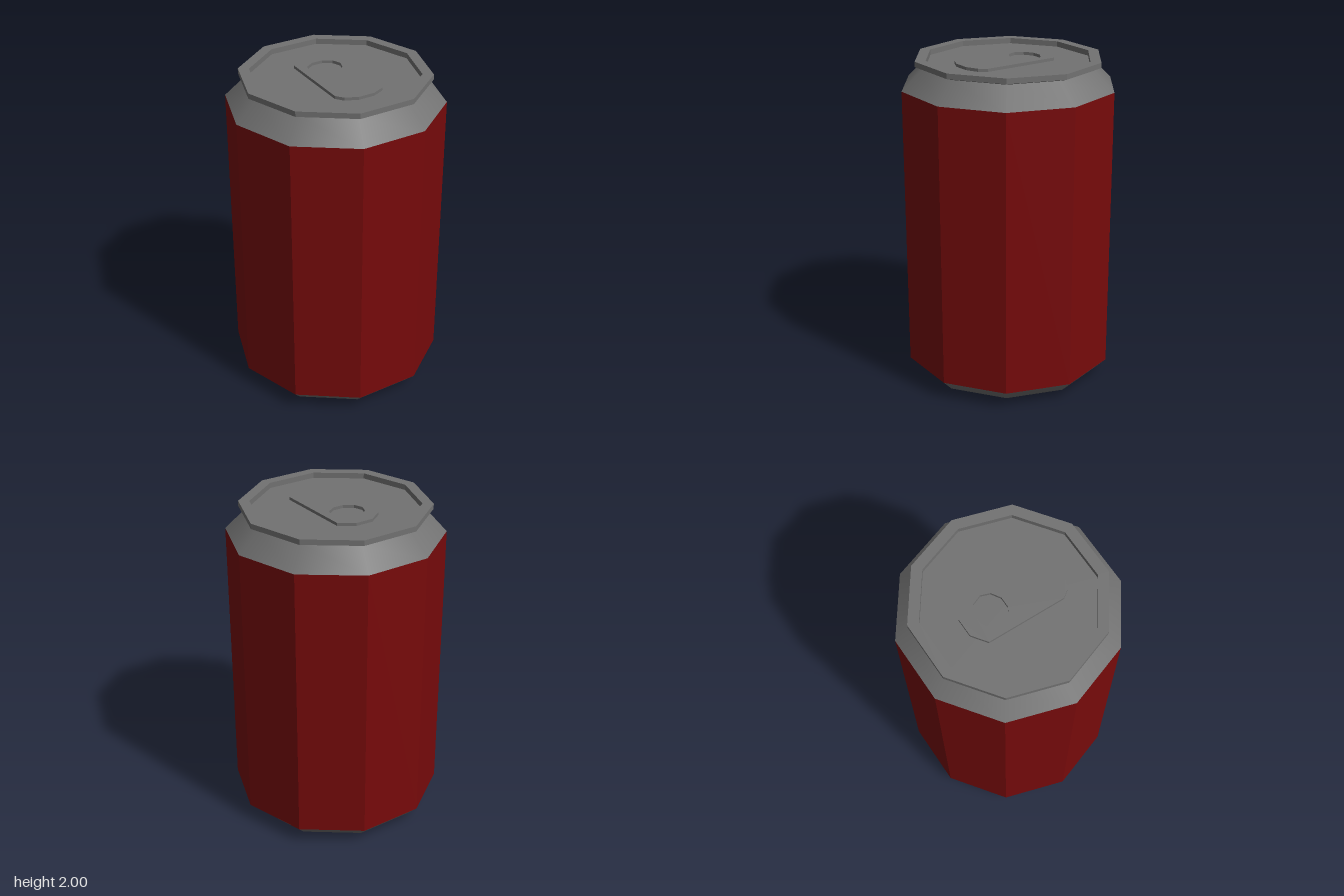
import * as THREE from 'three';

const SIDES = 10;

// Ten-sided ring of surface from [radius, height] pairs, corners on the x axis
function turned(name, profile, color, flatShading) {
  const points = profile.map(([r, y]) => new THREE.Vector2(r, y));
  const geometry = new THREE.LatheGeometry(points, SIDES, Math.PI / 2);
  geometry.normalizeNormals();
  const mesh = new THREE.Mesh(geometry, new THREE.MeshStandardMaterial({ color, flatShading }));
  mesh.name = name;
  return mesh;
}

export function createModel() {
  const can = new THREE.Group();
  can.name = 'drinkCan';
  const metal = 0x727272;

  // Body, listed from the base upwards
  can.add(turned('base', [[0, 0], [0.45, 0], [0.575, 0.04], [0.645, 0.11]], metal, false));
  can.add(turned('wall', [[0.645, 0.11], [0.645, 1.83]], 0x770a0b, true));
  can.add(turned('neck', [[0.645, 1.83], [0.52, 1.955]], metal, false));

  // Raised rim with the sunken lid inside it
  can.add(turned('rim', [[0.52, 1.955], [0.563, 1.968], [0.563, 2], [0.498, 2], [0.498, 1.967]], metal, true));
  can.add(turned('lid', [[0.498, 1.967], [0, 1.967]], metal, true));

  // Pull tab: half outline mirrored across x, with a finger hole
  const half = [[0.055, -0.288], [0.143, -0.225], [0.158, 0.25], [0.125, 0.297], [0.05, 0.33]];
  const mirrored = half.map(([x, z]) => [-x, z]).reverse();
  const outline = new THREE.Shape([...half, ...mirrored].map(([x, z]) => new THREE.Vector2(x, z)));
  const hole = [];
  for (let i = 0; i < SIDES; i++) {
    const a = (i / SIDES) * Math.PI * 2;
    hole.push(new THREE.Vector2(0.107 * Math.cos(a), -0.116 + 0.092 * Math.sin(a)));
  }
  outline.holes.push(new THREE.Path(hole));
  const tabGeometry = new THREE.ExtrudeGeometry(outline, { depth: 0.018, bevelEnabled: false });
  tabGeometry.rotateX(Math.PI / 2);
  const tab = new THREE.Mesh(tabGeometry, new THREE.MeshStandardMaterial({ color: metal, flatShading: true }));
  tab.name = 'pullTab';
  tab.position.y = 1.985;
  can.add(tab);

  return can;
}
